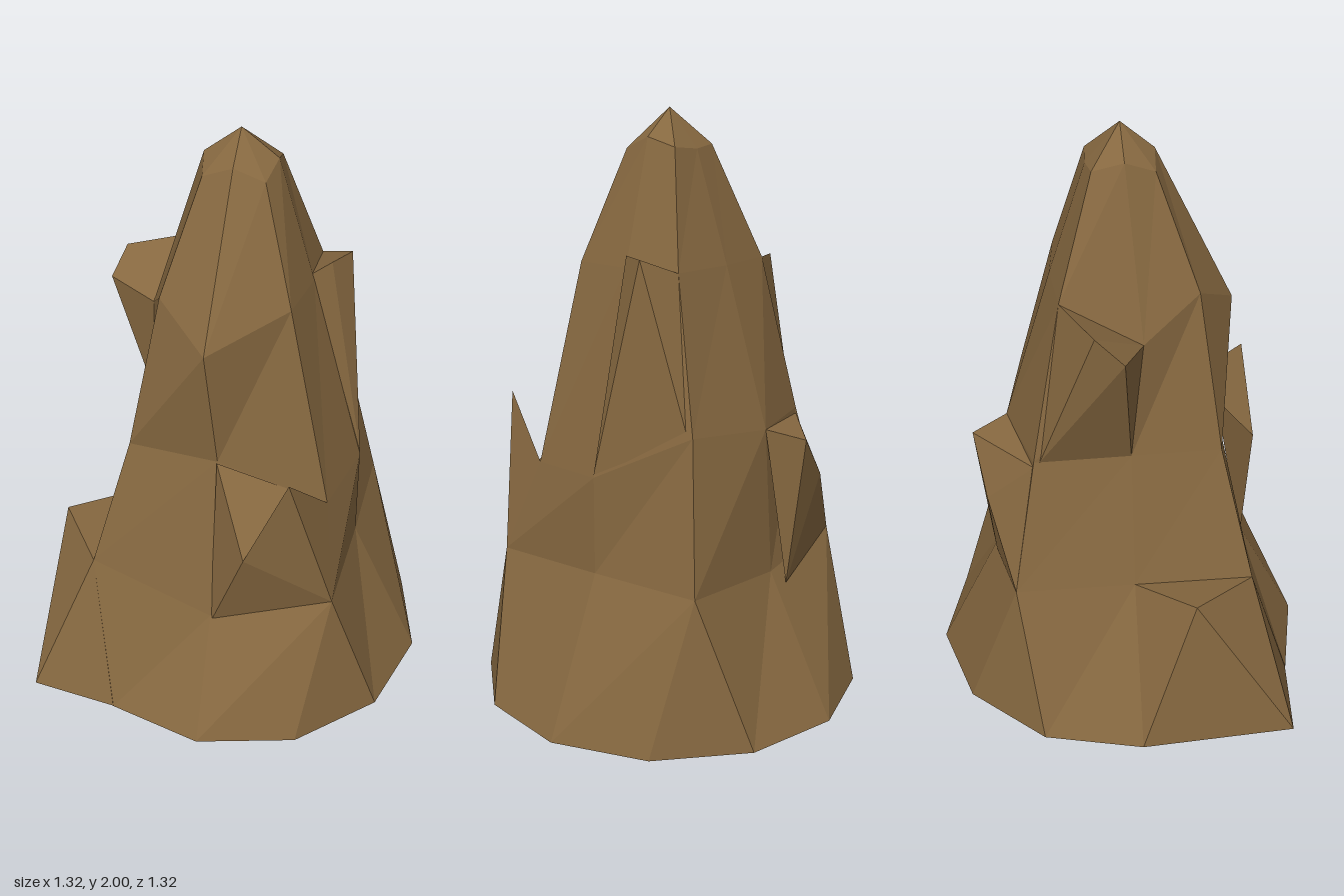
import * as THREE from 'three';
import { ConvexGeometry } from 'three/addons/geometries/ConvexGeometry.js';

const rock = new THREE.MeshStandardMaterial({ color: 0x866840 });
rock.name = 'brownRock';

// Flat-faced geometry from a list of triangles
function facets(triangles) {
  const geo = new THREE.BufferGeometry();
  geo.setAttribute('position', new THREE.Float32BufferAttribute(triangles.flat(2), 3));
  geo.computeVertexNormals();
  return geo;
}

const same = (a, b) => a.every((v, i) => Math.abs(v - b[i]) < 1e-6);

// Skin consecutive rings of equal length, dropping collapsed triangles
function loft(rings) {
  const tris = [];
  const add = (a, b, c) => {
    if (!same(a, b) && !same(b, c) && !same(a, c)) tris.push([a, b, c]);
  };
  for (let r = 0; r < rings.length - 1; r++) {
    const lo = rings[r], hi = rings[r + 1], n = lo.length;
    for (let i = 0; i < n; i++) {
      const j = (i + 1) % n;
      add(lo[i], lo[j], hi[j]);
      add(lo[i], hi[j], hi[i]);
    }
  }
  return facets(tris);
}

// Eight-point ring to twelve points by doubling its corners
const widen = ring => ring.flatMap((p, i) => (i % 2 ? [p, p] : [p]));

export function createModel() {
  const group = new THREE.Group();
  group.name = 'rockSpire';
  const part = (name, geo) => {
    const mesh = new THREE.Mesh(geo, rock);
    mesh.name = name;
    group.add(mesh);
  };
  const hull = points => new ConvexGeometry(points.map(p => new THREE.Vector3(...p)));

  // Twelve-sided foot
  const foot = Array.from({ length: 12 }, (_, i) => {
    const a = (i * Math.PI) / 6;
    return [0.66 * Math.sin(a), 0, 0.66 * Math.cos(a)];
  });

  // Rings run front, front-left, left (+x), back-left, back, and round
  const lower = [[0, 0.4, 0.45], [0.41, 0.51, 0.4], [0.42, 0.51, 0], [0.42, 0.51, -0.4],
    [0, 0.48, -0.42], [-0.41, 0.52, -0.4], [-0.42, 0.52, 0], [-0.43, 0.52, 0.4]];
  const middle = [[0, 0.97, 0.33], [0.36, 0.83, 0.28], [0.42, 0.84, 0], [0.32, 1.0, -0.32],
    [0, 0.97, -0.39], [-0.31, 0.97, -0.32], [-0.31, 0.97, 0], [-0.31, 0.97, 0.3]];
  const upper = [[-0.03, 1.39, 0.37], [0.21, 1.5, 0.21], [0.24, 1.5, 0], [0.23, 1.5, -0.2],
    [0, 1.5, -0.23], [-0.23, 1.5, -0.22], [-0.29, 1.37, 0.04], [-0.21, 1.5, 0.23]];
  const crown = [[0, 1.91, 0.11], [0.1, 1.87, 0.1], [0.12, 1.91, 0], [0.11, 1.88, -0.1],
    [0, 1.87, -0.11], [-0.1, 1.88, -0.1], [-0.12, 1.91, 0], [-0.1, 1.87, 0.1]];
  const tip = Array(12).fill([0, 2, 0]);
  const centre = Array(12).fill([0, 0, 0]);
  part('spire', loft([centre, foot, widen(lower), widen(middle), widen(upper), widen(crown), tip]));

  // Front spike with a hollow sloping top
  const T = [0, 0.97, 0.34], N = [0.13, 0.72, 0.51], P = [0.27, 1.03, 0.48];
  const S = [0.36, 0.83, 0.28], L = [0, 0.37, 0.45], R = [0.41, 0.51, 0.4];
  part('frontSpike', facets([[T, N, S], [N, P, S], [L, N, T], [L, R, N], [R, P, N], [R, S, P]]));

  // Bulging foot corner
  part('footButtress', hull([[-0.64, 0, 0.53], [-0.66, 0, 0], [-0.6, 0.55, 0.18], [-0.57, 0.4, 0.29],
    [-0.42, 0.52, 0], [-0.43, 0.52, 0.4], [-0.33, 0, 0.57]]));

  // Ledge at the back
  part('backLedge', hull([[0, 0.97, -0.39], [-0.06, 0.94, -0.51], [-0.22, 0.78, -0.475],
    [-0.31, 0.95, -0.32], [-0.05, 0.43, -0.45], [-0.41, 0.52, -0.4]]));

  // Shoulder crags high on both sides
  part('rightCrag', hull([[-0.46, 1.4, -0.04], [-0.43, 1.48, -0.13], [-0.32, 1.49, -0.18],
    [-0.23, 1.5, -0.22], [-0.29, 1.37, 0.04], [-0.31, 0.97, 0], [-0.31, 0.97, -0.3]]));
  part('leftCrag', hull([[0.34, 1.55, -0.13], [0.29, 1.55, -0.04], [0.23, 1.52, 0],
    [0.23, 1.5, -0.2], [0.42, 0.85, 0], [0.32, 1.0, -0.3], [0.2, 1.0, -0.1]]));

  return group;
}
